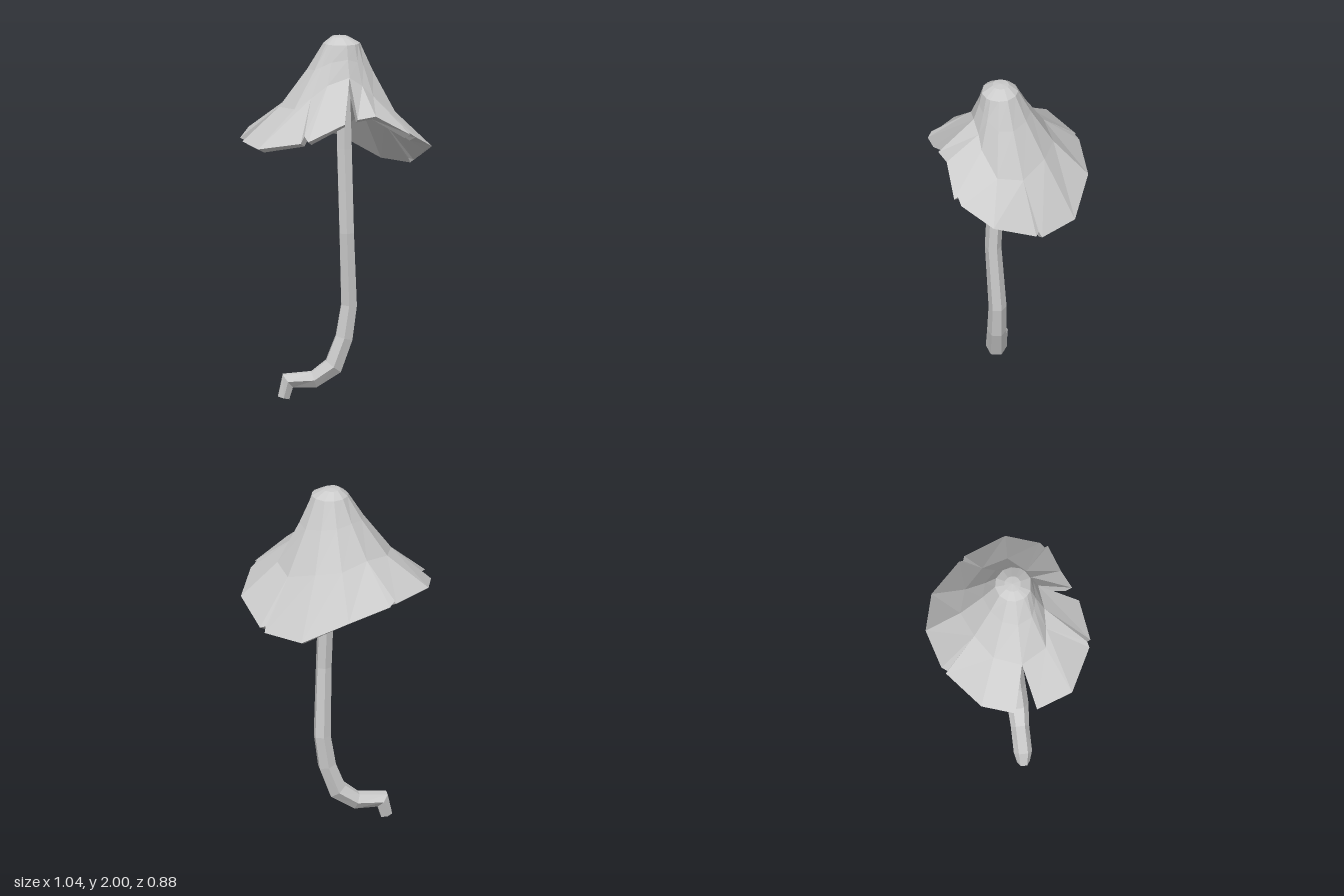
import * as THREE from 'three';

const grey = () => new THREE.MeshStandardMaterial({ color: 0xcccccc, flatShading: true });

// Collects quads (corners counter-clockwise from outside) into a faceted mesh
function meshFromQuads(name, quads) {
  const pos = [];
  for (const [a, b, c, d] of quads) {
    for (const tri of [[a, b, c], [a, c, d]]) {
      const t = new THREE.Triangle(...tri);
      if (t.getArea() > 1e-7) tri.forEach((p) => pos.push(p.x, p.y, p.z));
    }
  }
  const g = new THREE.BufferGeometry();
  g.setAttribute('position', new THREE.Float32BufferAttribute(pos, 3));
  g.computeVertexNormals();
  const mesh = new THREE.Mesh(g, grey());
  mesh.name = name;
  return mesh;
}

const V = (x, y, z) => new THREE.Vector3(x, y, z);

// Spokes of the cap, clockwise from the back: rim point, point halfway up, torn after this spoke?
const spokes = [
  [[0.02, 1.40, -0.44], [0.02, 1.62, -0.25]],
  [[0.27, 1.28, -0.38], [0.16, 1.60, -0.21]],
  [[0.44, 1.28, -0.21], [0.29, 1.55, -0.10]],
  [[0.43, 1.31, -0.19], [0.29, 1.55, -0.10]],
  [[0.46, 1.30, -0.18], [0.29, 1.55, -0.10]],
  [[0.52, 1.39, 0.05], [0.32, 1.58, 0.04]],
  [[0.43, 1.47, 0.23], [0.20, 1.68, 0.13]],
  [[0.39, 1.50, 0.25], [0.20, 1.68, 0.13]],
  [[0.40, 1.49, 0.27], [0.20, 1.68, 0.13]],
  [[0.21, 1.60, 0.32], [0.14, 1.74, 0.15]],
  [[0.11, 1.59, 0.37], [0.07, 1.79, 0.18], true],
  [[0.04, 1.57, 0.40], [0.07, 1.79, 0.18]],
  [[-0.16, 1.48, 0.44], [-0.05, 1.75, 0.20]],
  [[-0.18, 1.51, 0.42], [-0.14, 1.68, 0.20]],
  [[-0.20, 1.47, 0.43], [-0.14, 1.68, 0.20]],
  [[-0.43, 1.42, 0.31], [-0.23, 1.62, 0.19]],
  [[-0.51, 1.43, 0.11], [-0.31, 1.61, 0.05], true],
  [[-0.52, 1.43, -0.01], [-0.31, 1.61, 0.05]],
  [[-0.47, 1.46, -0.19], [-0.26, 1.63, -0.10]],
  [[-0.26, 1.46, -0.36], [-0.13, 1.65, -0.19]],
  [[-0.25, 1.47, -0.35], [-0.13, 1.65, -0.19]],
  [[-0.22, 1.45, -0.38], [-0.13, 1.65, -0.19]],
];

const MID = 4, INNER_MID = 7;

// Section of the cap along one spoke: over the top, round the lip and back underneath
function capSection([rimP, midP]) {
  const rim = V(...rimP), mid = V(...midP);
  const dir = V(mid.x - 0.03, 0, mid.z - 0.04).normalize();
  const inward = (p, d, drop) => {
    const n = V(0.04 - p.x, 0, 0.05 - p.z).setLength(d);
    return p.clone().add(n).setY(p.y - drop);
  };
  const shoulder = V(0.03, 1.96, 0.04).addScaledVector(dir, 0.1);
  const upper = shoulder.clone().lerp(mid, 0.36);
  upper.y -= 0.015;
  return [
    V(0.02, 2, 0.035),
    V(0.02, 1.995, 0.035).addScaledVector(dir, 0.045),
    shoulder, upper, mid, rim,
    inward(rim, 0.04, 0.02),
    inward(mid, 0.03, 0.055),
    V(0.045, 1.84, 0.06),
  ];
}

function createCap() {
  const cols = spokes.map(capSection), quads = [];
  cols.forEach((a, i) => {
    const b = cols[(i + 1) % cols.length], torn = spokes[i][2];
    for (let r = 0; r < a.length - 1; r++) {
      if (torn && r >= MID && r < INNER_MID) continue;
      quads.push([a[r], b[r], b[r + 1], a[r + 1]]);
    }
    if (torn) {
      // Cut faces on both sides of a tear
      quads.push(a.slice(MID, INNER_MID + 1).reverse(), b.slice(MID, INNER_MID + 1));
    }
  });
  return meshFromQuads('cap', quads);
}

// Stem: six-sided section swept along a bent path (x, y, z, radius)
function createStem() {
  const path = [
    [-0.285, 0.012, 0.06, 0.036], [-0.262, 0.105, 0.06, 0.05],
    [-0.12, 0.112, 0.06, 0.05], [-0.015, 0.185, 0.06, 0.058],
    [0.043, 0.34, 0.055, 0.053], [0.07, 0.52, 0.05, 0.049],
    [0.057, 0.92, 0.075, 0.045], [0.045, 1.38, 0.055, 0.046],
    [0.042, 1.6, 0.055, 0.042], [0.042, 1.84, 0.055, 0.035],
  ];
  const pts = path.map((p) => V(p[0], p[1], p[2]));
  const sides = 6, quads = [];
  const rings = pts.map((p, i) => {
    const before = p.clone().sub(pts[Math.max(i - 1, 0)]).normalize();
    const after = pts[Math.min(i + 1, pts.length - 1)].clone().sub(p).normalize();
    const t = before.add(after).normalize();
    const n = V(t.y, -t.x, 0).normalize();
    const m = n.clone().cross(t).normalize();
    return Array.from({ length: sides }, (_, k) => {
      const a = (k / sides) * Math.PI * 2 + Math.PI / 6;
      return p.clone().addScaledVector(n, Math.cos(a) * path[i][3])
        .addScaledVector(m, Math.sin(a) * path[i][3]);
    });
  });
  for (let k = 0; k < sides; k++) {
    const j = (k + 1) % sides, last = rings.length - 1;
    for (let i = 0; i < last; i++) {
      quads.push([rings[i][k], rings[i + 1][k], rings[i + 1][j], rings[i][j]]);
    }
    // End faces
    quads.push([pts[0], rings[0][k], rings[0][j], pts[0]]);
    quads.push([pts[last], rings[last][j], rings[last][k], pts[last]]);
  }
  return meshFromQuads('stem', quads);
}

export function createModel() {
  const group = new THREE.Group();
  group.name = 'mushroom';
  group.add(createCap(), createStem());
  // Stand the model on the ground
  const box = new THREE.Box3().setFromObject(group);
  group.children.forEach((c) => { c.position.y -= box.min.y; });
  return group;
}
